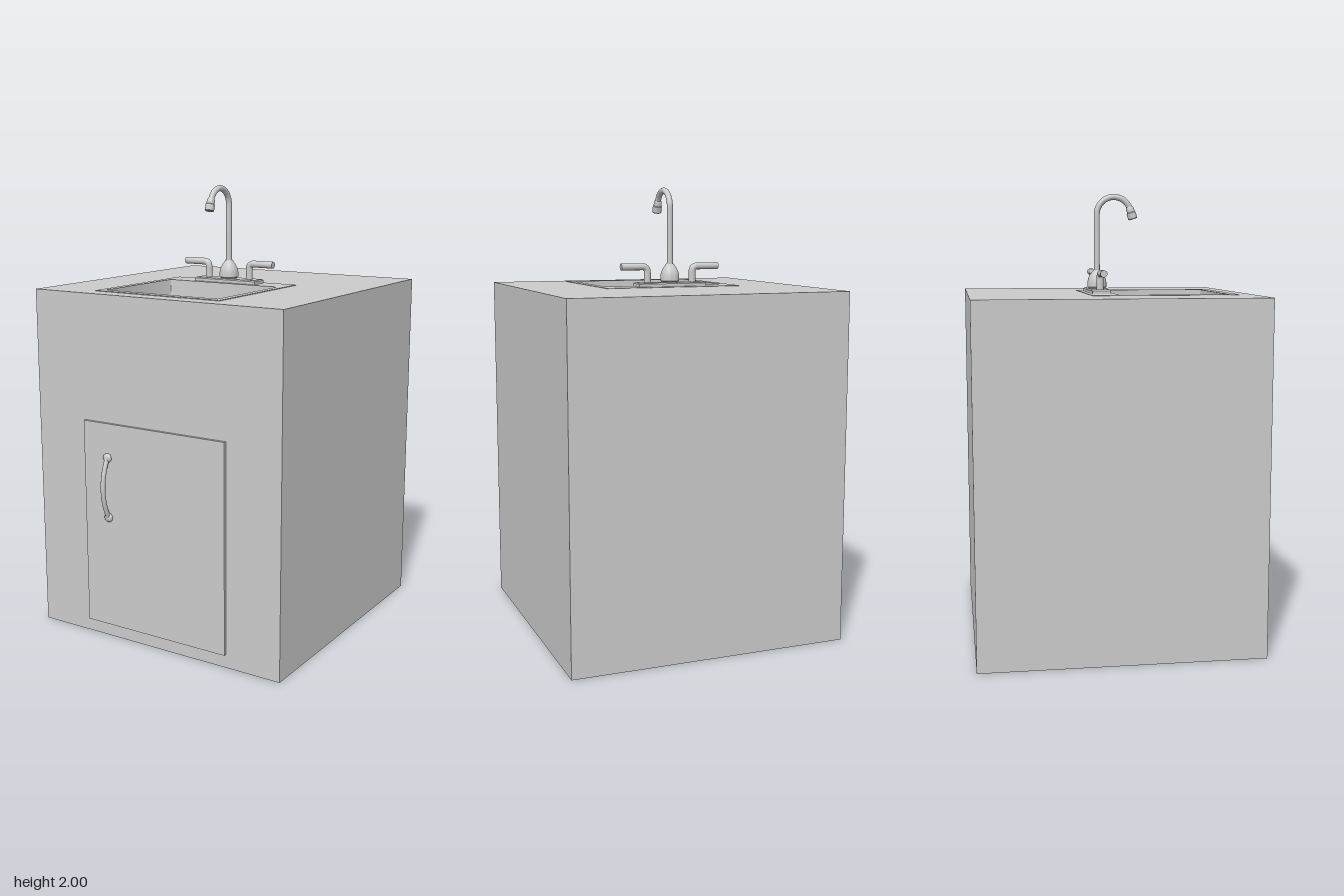
import * as THREE from 'three';
import { toCreasedNormals } from 'three/addons/utils/BufferGeometryUtils.js';

const grey = new THREE.MeshStandardMaterial({ color: 0xcccccc });
const thin = new THREE.MeshStandardMaterial({ color: 0xcccccc, side: THREE.DoubleSide });
const TOP = 1.555, CX = -0.035, TAP_Z = -0.068, DRAIN_Z = 0.15, FLOOR = 1.34;
const v = (x, y, z) => new THREE.Vector3(x, y, z);

function add(parent, name, geometry, x = 0, y = 0, z = 0, material = grey) {
  const mesh = new THREE.Mesh(geometry, material);
  mesh.name = name;
  mesh.position.set(x, y, z);
  parent.add(mesh);
  return mesh;
}

function group(parent, name) {
  const g = new THREE.Group();
  g.name = name;
  parent.add(g);
  return g;
}

function lathe(points, segments = 32) {
  return toCreasedNormals(new THREE.LatheGeometry(points.map(p => new THREE.Vector2(...p)), segments), 0.6);
}

// Rectangle in plan; shape y is minus z so that it lies flat after rotation
function rect(Type, x0, x1, z0, z1) {
  const s = new Type();
  s.moveTo(x0, -z1).lineTo(x1, -z1).lineTo(x1, -z0).lineTo(x0, -z0).closePath();
  return s;
}

// Rounded-rectangle loop in plan, centred on the basin
function loop(w, d, r, y, cx = CX, cz = 0.235) {
  const pts = [];
  for (let c = 0; c < 4; c++) {
    const sx = c === 0 || c === 3 ? 1 : -1, sz = c < 2 ? 1 : -1;
    for (let i = 0; i <= 6; i++) {
      const a = (c + i / 6) * Math.PI / 2;
      pts.push([cx + sx * (w / 2 - r) + r * Math.cos(a), y, cz + sz * (d / 2 - r) + r * Math.sin(a)]);
    }
  }
  return pts;
}

function loft(loops) {
  const n = loops[0].length, index = [];
  for (let j = 0; j < loops.length - 1; j++) {
    for (let i = 0; i < n; i++) {
      const a = j * n + i, b = j * n + (i + 1) % n;
      index.push(a, b, a + n, b, b + n, a + n);
    }
  }
  const g = new THREE.BufferGeometry();
  g.setAttribute('position', new THREE.Float32BufferAttribute(loops.flat(2), 3));
  g.setIndex(index);
  return toCreasedNormals(g, 0.7);
}

function addCabinet(model) {
  const cabinet = group(model, 'cabinet');
  // Box without its top face, closed by a worktop with a sink opening
  const box = new THREE.BoxGeometry(1.254, TOP, 1.25);
  const faces = Array.from(box.index.array);
  faces.splice(12, 6);
  box.setIndex(faces);
  box.clearGroups();
  add(cabinet, 'cabinetBody', box, 0, TOP / 2, -0.03);
  const top = rect(THREE.Shape, -0.627, 0.627, -0.655, 0.595);
  top.holes.push(rect(THREE.Path, -0.325, 0.255, -0.01, 0.48));
  add(cabinet, 'worktop', new THREE.ShapeGeometry(top).rotateX(-Math.PI / 2), 0, TOP, 0);
}

function addDoor(model) {
  const door = group(model, 'door');
  add(door, 'doorPanel', new THREE.BoxGeometry(0.73, 0.935, 0.014), 0, 0.5275, 0.601);
  // Bowed pull with a round foot at each end
  const hx = -0.237, hy = 0.705;
  const pts = [];
  for (let i = 0; i <= 8; i++) {
    const t = i / 4 - 1;
    pts.push(v(hx, hy + t * 0.135, 0.612 + 0.034 * (1 - t * t)));
  }
  add(door, 'doorHandleBar', new THREE.TubeGeometry(new THREE.CatmullRomCurve3(pts), 32, 0.0105, 12));
  for (const s of [-1, 1]) {
    const foot = add(door, 'doorHandleFoot', new THREE.SphereGeometry(0.021, 20, 14), hx, hy + s * 0.136, 0.61);
    foot.scale.z = 0.65;
  }
}

function addSink(model) {
  const sink = group(model, 'sink');
  const rim = rect(THREE.Shape, -0.355, 0.285, -0.128, 0.517);
  rim.holes.push(rect(THREE.Path, -0.323, 0.253, -0.008, 0.478));
  const rimGeo = new THREE.ExtrudeGeometry(rim, { depth: 0.003, bevelEnabled: false });
  add(sink, 'sinkRim', rimGeo.rotateX(-Math.PI / 2), 0, TOP, 0);

  // Slightly tapered bowl, filleted into a floor that falls to the drain
  const loops = [loop(0.58, 0.49, 0.01, TOP + 0.002), loop(0.572, 0.482, 0.012, FLOOR + 0.05)];
  for (let i = 1; i <= 5; i++) {
    const a = i / 5 * Math.PI / 2, inset = 0.07 * (1 - Math.cos(a));
    loops.push(loop(0.572 - inset, 0.482 - inset, 0.012 + inset * 0.4, FLOOR + 0.05 - 0.038 * Math.sin(a)));
  }
  loops.push(loop(0.1, 0.1, 0.05, FLOOR, CX, DRAIN_Z));
  add(sink, 'basin', loft(loops), 0, 0, 0, thin);

  // Drain ring and perforated strainer
  const drain = group(sink, 'drain');
  drain.position.set(CX, FLOOR, DRAIN_Z);
  drain.scale.z = 1.12;
  add(drain, 'drainRing', lathe([[0.043, -0.012], [0.044, 0.003], [0.05, 0.007], [0.057, 0.006], [0.061, 0]]), 0, 0, 0, thin);
  const disc = new THREE.Shape().absarc(0, 0, 0.045, 0, Math.PI * 2);
  for (let ring = 1; ring <= 4; ring++) {
    for (let i = 0; i < ring * 6; i++) {
      const a = i / (ring * 6) * Math.PI * 2, r = ring * 0.0095;
      disc.holes.push(new THREE.Path().absarc(r * Math.cos(a), r * Math.sin(a), 0.0028, 0, Math.PI * 2, true));
    }
  }
  add(drain, 'strainer', new THREE.ShapeGeometry(disc, 6).rotateX(-Math.PI / 2), 0, -0.003, 0, thin);
  add(drain, 'strainerKnob', new THREE.SphereGeometry(0.006, 12, 8), 0, -0.002, 0);
  add(drain, 'drainCup', lathe([[0, -0.03], [0.043, -0.03], [0.044, 0]]), 0, 0, 0, thin);
}

function addTap(model) {
  const tap = group(model, 'tap');
  tap.position.set(CX, TOP, TAP_Z);
  const plate = rect(THREE.Shape, -0.157, 0.157, -0.037, 0.037);
  const plateGeo = new THREE.ExtrudeGeometry(plate, {
    depth: 0.015, bevelThickness: 0.005, bevelSize: 0.004, bevelOffset: 0, bevelSegments: 1,
  });
  add(tap, 'tapBasePlate', plateGeo.rotateX(-Math.PI / 2), 0, 0.001, 0);
  add(tap, 'tapBody', lathe([[0.037, 0.015], [0.037, 0.022], [0.043, 0.028], [0.043, 0.05], [0.039, 0.068],
    [0.031, 0.084], [0.022, 0.096], [0.017, 0.105], [0.0, 0.106]]));

  // Swan-neck spout: straight riser, then an arc over the bowl
  const neck = new THREE.CurvePath();
  const R = 0.078, cy = 0.445 - 0.0135 - R, end = 2.85;
  neck.add(new THREE.LineCurve3(v(0, 0.09, 0), v(0, cy, 0)));
  const arc = [];
  for (let i = 0; i <= 16; i++) {
    const a = i / 16 * end;
    arc.push(v(0, cy + R * Math.sin(a), R - R * Math.cos(a)));
  }
  neck.add(new THREE.CatmullRomCurve3(arc));
  add(tap, 'spout', new THREE.TubeGeometry(neck, 80, 0.0135, 16));
  const nozzle = add(tap, 'nozzle', lathe([[0, 0.012], [0.015, 0.012], [0.018, 0.006], [0.018, -0.012],
    [0.021, -0.015], [0.021, -0.042], [0.018, -0.045], [0, -0.045]].reverse(), 24));
  nozzle.position.copy(arc[16]);
  nozzle.quaternion.setFromUnitVectors(v(0, -1, 0), v(0, Math.cos(end), Math.sin(end)).normalize());

  // Lever handles, mirrored
  for (const s of [-1, 1]) {
    const lever = new THREE.CurvePath();
    const x = s * 0.109, y = 0.092, b = 0.025;
    lever.add(new THREE.LineCurve3(v(x, 0.015, 0), v(x, y - b, 0)));
    lever.add(new THREE.QuadraticBezierCurve3(v(x, y - b, 0), v(x, y, 0), v(x + s * b, y, 0)));
    lever.add(new THREE.LineCurve3(v(x + s * b, y, 0), v(s * 0.235, y, 0)));
    const side = s > 0 ? 'left' : 'right';
    add(tap, side + 'Lever', new THREE.TubeGeometry(lever, 40, 0.0155, 16));
    const cap = add(tap, side + 'LeverEnd', new THREE.CircleGeometry(0.0155, 16), s * 0.235, y, 0);
    cap.rotation.y = s * Math.PI / 2;
  }
}

export function createModel() {
  const model = new THREE.Group();
  model.name = 'sinkCabinet';
  addCabinet(model);
  addDoor(model);
  addSink(model);
  addTap(model);
  return model;
}
